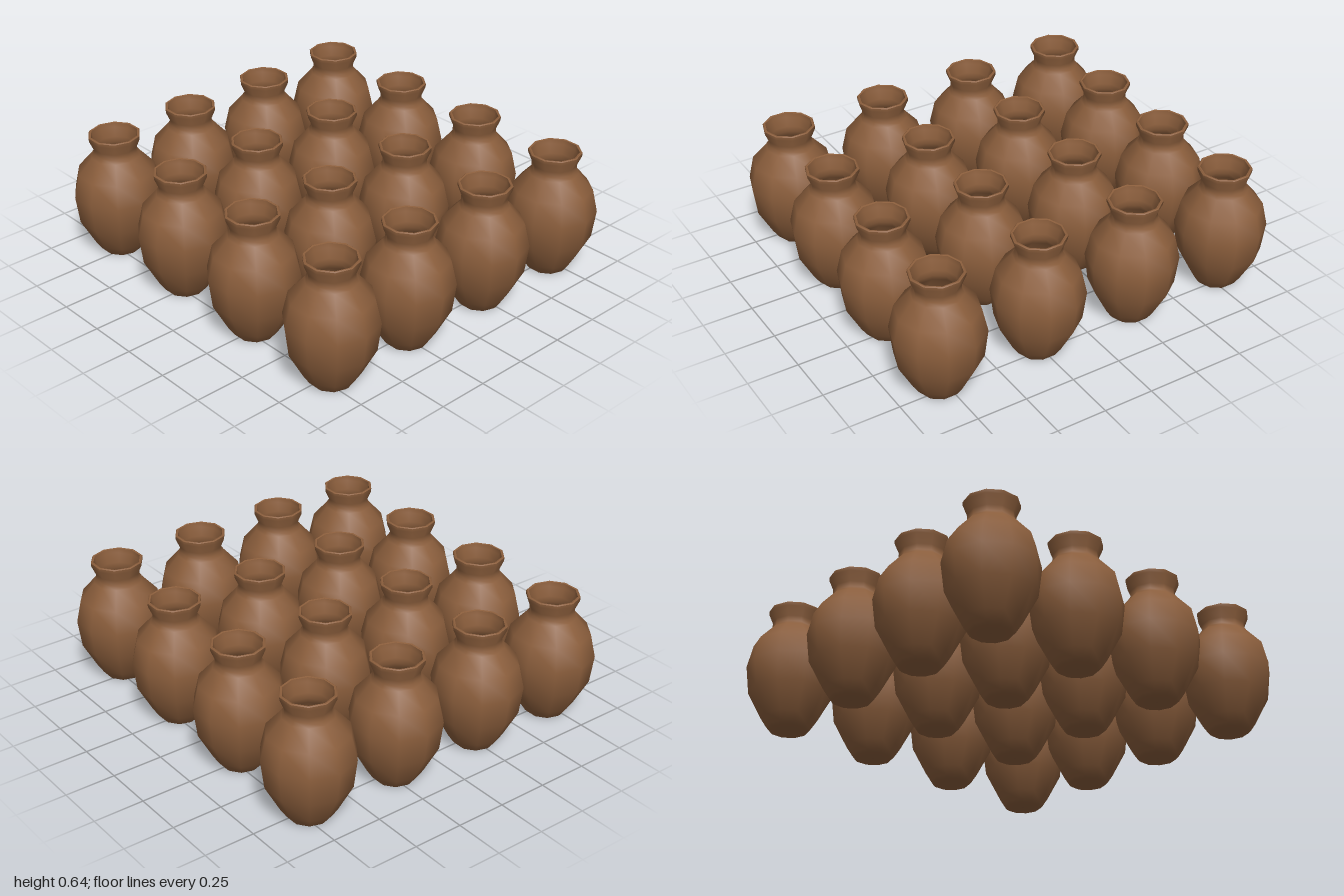
import * as THREE from 'three';
import { toCreasedNormals } from 'three/addons/utils/BufferGeometryUtils.js';

export function createModel() {
  const group = new THREE.Group();
  group.name = 'jarGrid';

  const clay = new THREE.MeshStandardMaterial({ color: 0x8b5e3c });
  clay.name = 'clay brown';

  // Jar profile as [radius, height]: base, belly, neck, rim, then the hollow inside
  const profile = [
    [0, 0], [0.094, 0], [0.106, 0.012], [0.134, 0.055], [0.203, 0.185],
    [0.22, 0.325], [0.193, 0.44], [0.12, 0.522], [0.108, 0.54], [0.108, 0.568],
    [0.128, 0.615], [0.129, 0.632], [0.124, 0.636], [0.116, 0.634],
    [0.112, 0.612], [0.096, 0.568], [0.096, 0.54], [0.108, 0.512],
    [0.178, 0.432], [0.205, 0.325], [0.188, 0.19], [0.122, 0.065],
    [0.095, 0.025], [0, 0.025],
  ].map(([r, y]) => new THREE.Vector2(r, y));

  // Ten sides with a corner pointing along x
  const jarGeometry = toCreasedNormals(
    new THREE.LatheGeometry(profile, 10, Math.PI / 2), THREE.MathUtils.degToRad(50));

  // Four rows of four jars
  for (const z of [-0.72, -0.232, 0.255, 0.72]) {
    for (const x of [-0.78, -0.26, 0.26, 0.78]) {
      const jar = new THREE.Mesh(jarGeometry, clay);
      jar.name = 'jar';
      jar.position.set(x, 0, z);
      group.add(jar);
    }
  }
  return group;
}
